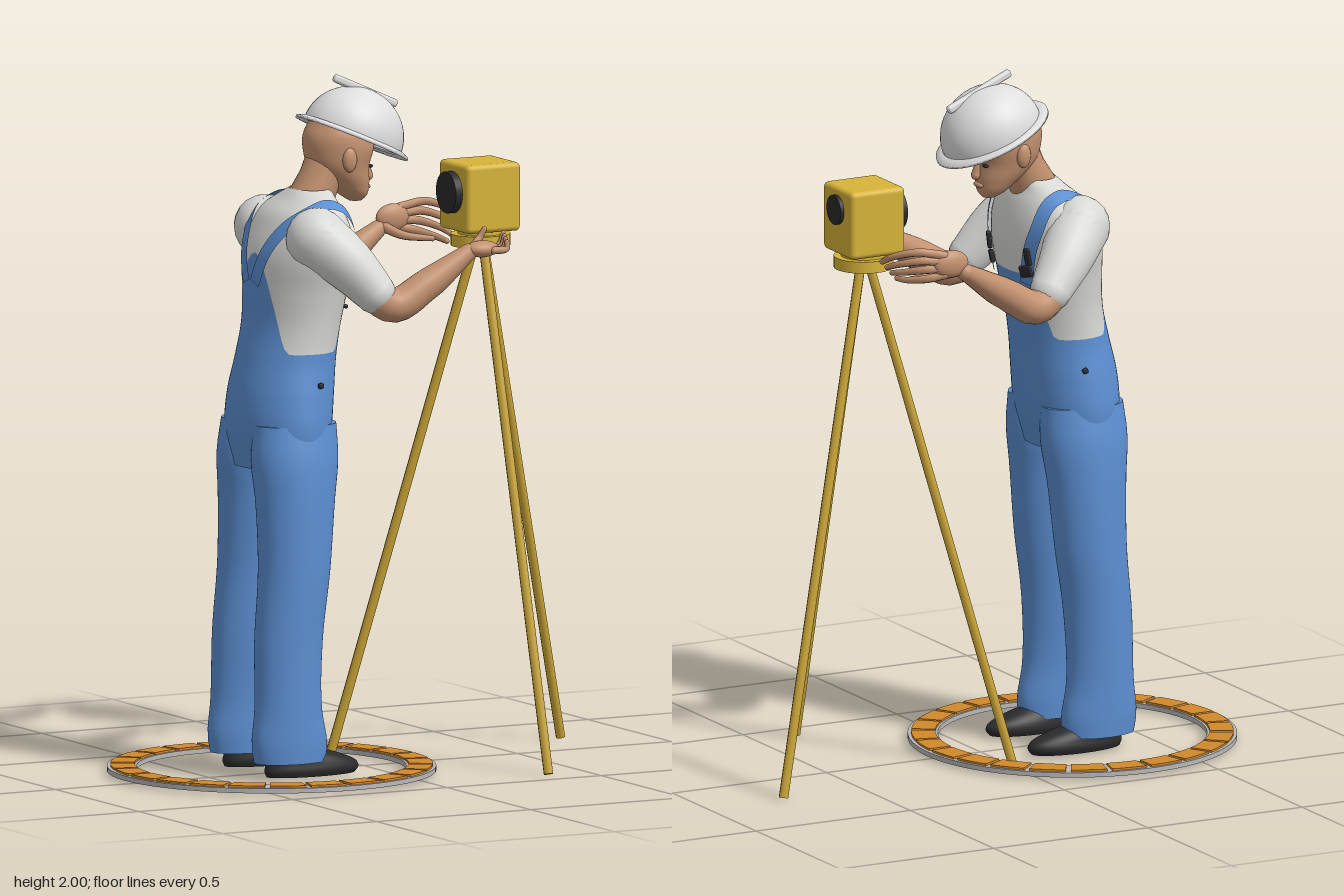
import * as THREE from 'three';
import { RoundedBoxGeometry } from 'three/addons/geometries/RoundedBoxGeometry.js';
import { ParametricGeometry } from 'three/addons/geometries/ParametricGeometry.js';

const V = (x, y, z) => new THREE.Vector3(x, y, z);
const paint = (name, color, side = THREE.FrontSide) => {
  const m = new THREE.MeshStandardMaterial({ color, side });
  m.name = name;
  return m;
};

export function createModel() {
  const denim = paint('denim blue', 0x5c8fd2, THREE.DoubleSide);
  const shirt = paint('shirt white', 0xd8d8d5, THREE.DoubleSide);
  const skin = paint('skin', 0xc49270, THREE.DoubleSide);
  const shell = paint('helmet white', 0xdedede, THREE.DoubleSide);
  const black = paint('black', 0x2a2a2c);
  const yellow = paint('instrument yellow', 0xd8b43a);
  const wood = paint('tripod yellow', 0xc9a436);
  const orange = paint('orange', 0xd2882c);
  const grey = paint('ring grey', 0xb9b9b9);

  const model = new THREE.Group();
  const add = (parent, name, geo, mat, pos) => {
    const m = new THREE.Mesh(geo, mat);
    m.name = name;
    if (pos) m.position.copy(pos);
    parent.add(m);
    return m;
  };
  const group = (name, parent = model) => {
    const g = new THREE.Group();
    g.name = name;
    parent.add(g);
    return g;
  };
  const ball = (parent, name, mat, pos, sx, sy, sz) =>
    add(parent, name, new THREE.SphereGeometry(1, 24, 16).scale(sx, sy, sz), mat, pos);

  // Body surfaces: rows of [y, xBack, xFront, zMin, zMax] joined by elliptical sections
  const skinOf = (rows) => {
    const spline = new THREE.CubicInterpolant(rows.map((r) => r[0]), rows.flatMap((r) => r.slice(1)), 4);
    return (a, y) => {
      const [x0, x1, z0, z1] = spline.evaluate(y);
      return V((x0 + x1) / 2 + ((x1 - x0) / 2) * Math.cos(a), y, (z0 + z1) / 2 - ((z1 - z0) / 2) * Math.sin(a));
    };
  };
  const loft = (parent, name, mat, surf, lo, hi) => add(parent, name, new ParametricGeometry((u, v, t) => {
    const a = (u - 0.5) * 2 * Math.PI;
    t.copy(surf(a, THREE.MathUtils.lerp(lo(a), hi(a), v)));
  }, 56, 28), mat);
  const solid = (parent, name, mat, rows) => {
    const surf = skinOf(rows);
    const ends = [rows[0], rows[rows.length - 1]];
    loft(parent, name, mat, surf, () => ends[0][0], () => ends[1][0]);
    ends.forEach(([y, x0, x1, z0, z1], i) => add(parent, name + 'End',
      new THREE.CircleGeometry(1, 40).rotateX(i ? -Math.PI / 2 : Math.PI / 2).scale((x1 - x0) / 2, 1, (z1 - z0) / 2),
      mat, V((x0 + x1) / 2, y, (z0 + z1) / 2)));
  };

  // Tapering tube with round ends
  const limb = (parent, name, mat, pts, radii, sides = 16) => {
    const n = 20;
    const curve = new THREE.CatmullRomCurve3(pts);
    const geo = new THREE.TubeGeometry(curve, n, 1, sides);
    const p = geo.attributes.position, v = V(0, 0, 0);
    for (let i = 0; i < p.count; i++) {
      const ring = Math.floor(i / (sides + 1));
      const f = (ring / n) * (radii.length - 1), k = Math.min(Math.floor(f), radii.length - 2);
      const c = curve.getPointAt(ring / n);
      v.fromBufferAttribute(p, i).sub(c).multiplyScalar(THREE.MathUtils.lerp(radii[k], radii[k + 1], f - k)).add(c);
      p.setXYZ(i, v.x, v.y, v.z);
    }
    add(parent, name, geo, mat);
    [0, radii.length - 1].forEach((i) => add(parent, name + 'Tip',
      new THREE.SphereGeometry(radii[i], sides, 10), mat, i ? pts[pts.length - 1] : pts[0]));
  };

  // Floor ring with tiles
  const floor = group('floorRing');
  floor.position.set(-0.298, 0.01, 0);
  const sector = (r0, r1, a0, a1, depth, seg) => {
    const s = new THREE.Shape();
    s.absarc(0, 0, r1, a0, a1, false);
    s.absarc(0, 0, r0, a1, a0, true);
    return new THREE.ExtrudeGeometry(s, { depth, bevelEnabled: false, curveSegments: seg }).rotateX(-Math.PI / 2);
  };
  const disc = new THREE.Shape().absarc(0, 0, 0.47, 0, Math.PI * 2, false);
  disc.holes.push(new THREE.Path().absarc(0, 0, 0.384, 0, Math.PI * 2, true));
  add(floor, 'ringBase', new THREE.ExtrudeGeometry(disc, { depth: 0.014, bevelEnabled: false, curveSegments: 72 }).rotateX(-Math.PI / 2), grey);
  for (let i = 0; i < 24; i++) {
    const a = (i * Math.PI) / 12;
    add(floor, 'ringTile', sector(0.391, 0.46, a + 0.016, a + Math.PI / 12 - 0.016, 0.02, 5), orange);
  }

  // Tripod and instrument
  const tripod = group('tripod');
  [[0.755, -0.212], [0.012, -0.22], [0.37, 0.425]].forEach(([x, z]) => {
    const foot = V(x, 0.006, z), top = V(0.38, 1.48, 0).lerp(V(x, 1.48, z), 0.04);
    const d = top.clone().sub(foot);
    const leg = add(tripod, 'tripodLeg', new THREE.CylinderGeometry(0.014, 0.014, d.length(), 8), wood, foot.clone().addScaledVector(d, 0.5));
    leg.quaternion.setFromUnitVectors(V(0, 1, 0), d.normalize());
  });
  const device = group('instrument');
  add(device, 'instrumentBase', new THREE.CylinderGeometry(0.086, 0.086, 0.034, 24), yellow, V(0.38, 1.494, 0));
  add(device, 'instrumentNeck', new THREE.CylinderGeometry(0.065, 0.065, 0.03, 24), yellow, V(0.38, 1.515, 0));
  add(device, 'instrumentBody', new RoundedBoxGeometry(0.176, 0.198, 0.176, 3, 0.015), yellow, V(0.378, 1.621, 0));
  add(device, 'frontLens', new THREE.CylinderGeometry(0.043, 0.043, 0.02, 28).rotateZ(Math.PI / 2), black, V(0.467, 1.655, 0));
  add(device, 'eyepiece', new THREE.CylinderGeometry(0.06, 0.06, 0.03, 28).rotateZ(Math.PI / 2), black, V(0.283, 1.635, 0));

  // Torso: overalls below the hem line, shirt above it
  const worker = group('worker');
  const torso = skinOf([
    [0.89, -0.395, -0.165, 0.18], [1.0, -0.415, -0.14, 0.195], [1.1, -0.41, -0.128, 0.186], [1.2, -0.388, -0.118, 0.172],
    [1.3, -0.365, -0.105, 0.175], [1.4, -0.36, -0.085, 0.19], [1.5, -0.352, -0.075, 0.212], [1.57, -0.325, -0.085, 0.212],
    [1.62, -0.295, -0.1, 0.175], [1.655, -0.255, -0.115, 0.12], [1.68, -0.23, -0.118, 0.07],
  ].map(([y, b, f, w]) => [y, b, f, -w, w]));
  const step = THREE.MathUtils.smoothstep;
  const hem = (a) => 1.225 + 0.19 * (1 - step(Math.abs(a), 0.55, 0.95)) + 0.28 * step(Math.abs(a), 2.1, Math.PI);
  loft(worker, 'overallsTop', denim, torso, () => 0.89, hem);
  loft(worker, 'shirtBody', shirt, torso, hem, () => 1.68);
  const normalAt = (a, y) => {
    const p = torso(a, y), e = 0.002;
    return torso(a + e, y).sub(p).cross(torso(a, y + e).sub(p)).normalize();
  };

  // Shoulder straps follow the torso surface
  const path = new THREE.CatmullRomCurve3([[0.52, 1.39], [0.62, 1.5], [0.8, 1.59], [1.4, 1.64], [2.3, 1.615], [2.75, 1.55], [3.02, 1.42]]
    .map(([a, y]) => V(a, y, 0)));
  for (const s of [1, -1]) {
    const on = (u) => { const k = path.getPoint(u); return torso(s * k.x, k.y); };
    add(worker, 'strap', new ParametricGeometry((u, v, t) => {
      const k = path.getPoint(u), n = normalAt(s * k.x, k.y);
      const dir = on(Math.min(1, u + 0.01)).sub(on(Math.max(0, u - 0.01))).normalize();
      t.copy(on(u)).addScaledVector(n, 0.009).addScaledVector(dir.cross(n).normalize(), s * (v - 0.5) * 0.046);
    }, 48, 4), denim);
    // Buckles and buttons
    for (const [a, y, w, h] of [[0.53, 1.43, 0.045, 0.035], [0.57, 1.475, 0.022, 0.05], [1.4, 1.135, 0.016, 0.016], [0.45, 1.345, 0.012, 0.012]]) {
      const n = normalAt(s * a, y);
      const b = add(worker, 'fastener', new RoundedBoxGeometry(w, h, 0.014, 2, 0.005), black, torso(s * a, y).addScaledVector(n, 0.008));
      b.quaternion.setFromUnitVectors(V(0, 0, 1), n);
    }

    // Legs and shoes
    const side = (rows) => rows.map(([y, x0, x1, i, o]) => (s > 0 ? [y, x0, x1, i, o] : [y, x0, x1, -o, -i]));
    solid(worker, 'trouserLeg', denim, side([
      [0.052, -0.42, -0.2, 0.062, 0.2], [0.1, -0.428, -0.195, 0.06, 0.203], [0.2, -0.418, -0.213, 0.058, 0.205],
      [0.4, -0.413, -0.21, 0.042, 0.21], [0.6, -0.397, -0.185, 0.028, 0.215], [0.8, -0.4, -0.165, 0.012, 0.212],
      [0.92, -0.41, -0.148, 0, 0.204], [1.02, -0.4, -0.15, 0.01, 0.185]]));
    solid(worker, 'shoe', black, side([
      [0.01, -0.38, -0.1, 0.073, 0.178], [0.025, -0.386, -0.088, 0.068, 0.183], [0.045, -0.382, -0.098, 0.07, 0.18],
      [0.062, -0.378, -0.135, 0.076, 0.175], [0.08, -0.372, -0.19, 0.085, 0.166], [0.1, -0.37, -0.23, 0.09, 0.16]]));

    // Sleeves and bare arms
    limb(worker, 'sleeve', shirt, [V(-0.235, 1.555, s * 0.155), V(-0.165, 1.485, s * 0.21), V(-0.095, 1.402, s * 0.243)], [0.09, 0.077, 0.06], 20);
    limb(worker, 'arm', skin, [V(-0.13, 1.43, s * 0.235), V(-0.045, 1.364, s * 0.257), V(0.06, 1.415, s * 0.262), V(0.2, 1.5, s > 0 ? 0.258 : -0.28)],
      [0.05, 0.05, 0.044, 0.025]);
    // Ears and eyes
    ball(worker, 'ear', skin, V(-0.092, 1.765, s * 0.088), 0.022, 0.036, 0.014);
    ball(worker, 'eye', black, V(0.003, 1.735, s * 0.034), 0.007, 0.005, 0.013);
  }

  // Hands: one cupped upwards, one reaching around the instrument
  const cupped = group('cuppedHand', worker), reaching = group('reachingHand', worker);
  ball(cupped, 'palm', skin, V(0.242, 1.508, 0.263), 0.052, 0.024, 0.034);
  ball(reaching, 'palm', skin, V(0.247, 1.53, -0.278), 0.055, 0.04, 0.022);
  for (let i = 0; i < 4; i++) {
    const z = 0.238 + i * 0.018;
    limb(cupped, 'finger', skin, [V(0.265, 1.505, z), V(0.305, 1.508, z + 0.003), V(0.325 - i * 0.006, 1.545 - i * 0.006, z)], [0.011, 0.01, 0.007], 8);
    limb(reaching, 'finger', skin, [V(0.27, 1.558 - i * 0.019, -0.28), V(0.345 - i * 0.012, 1.572 - i * 0.027, -0.262),
      V(0.392 - i * 0.016, 1.553 - i * 0.025, -0.205), V(0.398 - i * 0.016, 1.525 - i * 0.018, -0.145)], [0.013, 0.012, 0.01, 0.008], 8);
  }
  limb(cupped, 'thumb', skin, [V(0.22, 1.51, 0.245), V(0.25, 1.535, 0.232), V(0.265, 1.56, 0.235)], [0.014, 0.011, 0.008], 8);
  limb(reaching, 'thumb', skin, [V(0.215, 1.505, -0.27), V(0.25, 1.485, -0.225), V(0.325, 1.475, -0.185)], [0.016, 0.012, 0.008], 8);

  // Neck, head and face
  limb(worker, 'neck', skin, [V(-0.175, 1.64, 0), V(-0.145, 1.7, 0), V(-0.11, 1.78, 0)], [0.068, 0.06, 0.062], 20);
  solid(worker, 'head', skin, [
    [1.634, -0.045, -0.008, 0.018], [1.648, -0.068, 0.004, 0.04], [1.685, -0.115, 0.01, 0.064], [1.735, -0.168, 0.008, 0.082],
    [1.79, -0.186, 0.022, 0.092], [1.83, -0.185, 0.01, 0.09], [1.87, -0.165, -0.03, 0.075]].map(([y, b, f, w]) => [y, b, f, -w, w]));
  limb(worker, 'nose', skin, [V(0.006, 1.745, 0), V(0.012, 1.72, 0), V(0.016, 1.702, 0)], [0.007, 0.011, 0.014], 10);
  ball(worker, 'mouth', skin, V(0.006, 1.673, 0), 0.011, 0.009, 0.024);

  // Hard hat, tipped forward
  const hat = group('hardHat', worker);
  hat.position.set(-0.035, 1.82, 0);
  hat.rotation.z = -0.418;
  add(hat, 'hatDome', new THREE.SphereGeometry(1, 40, 16, 0, Math.PI * 2, 0, Math.PI / 2).scale(0.152, 0.141, 0.135), shell);
  const brim = [[0.8, 0.006], [0.9, 0.005], [1, -0.002], [1, -0.01], [0.9, -0.006], [0.8, -0.004]].map(([x, y]) => new THREE.Vector2(x, y));
  add(hat, 'hatBrim', new THREE.LatheGeometry(brim, 48).scale(0.178, 1, 0.149), shell);
  add(hat, 'hatCrest', new RoundedBoxGeometry(0.222, 0.024, 0.022, 3, 0.009), shell, V(-0.014, 0.132, 0));

  return model;
}
